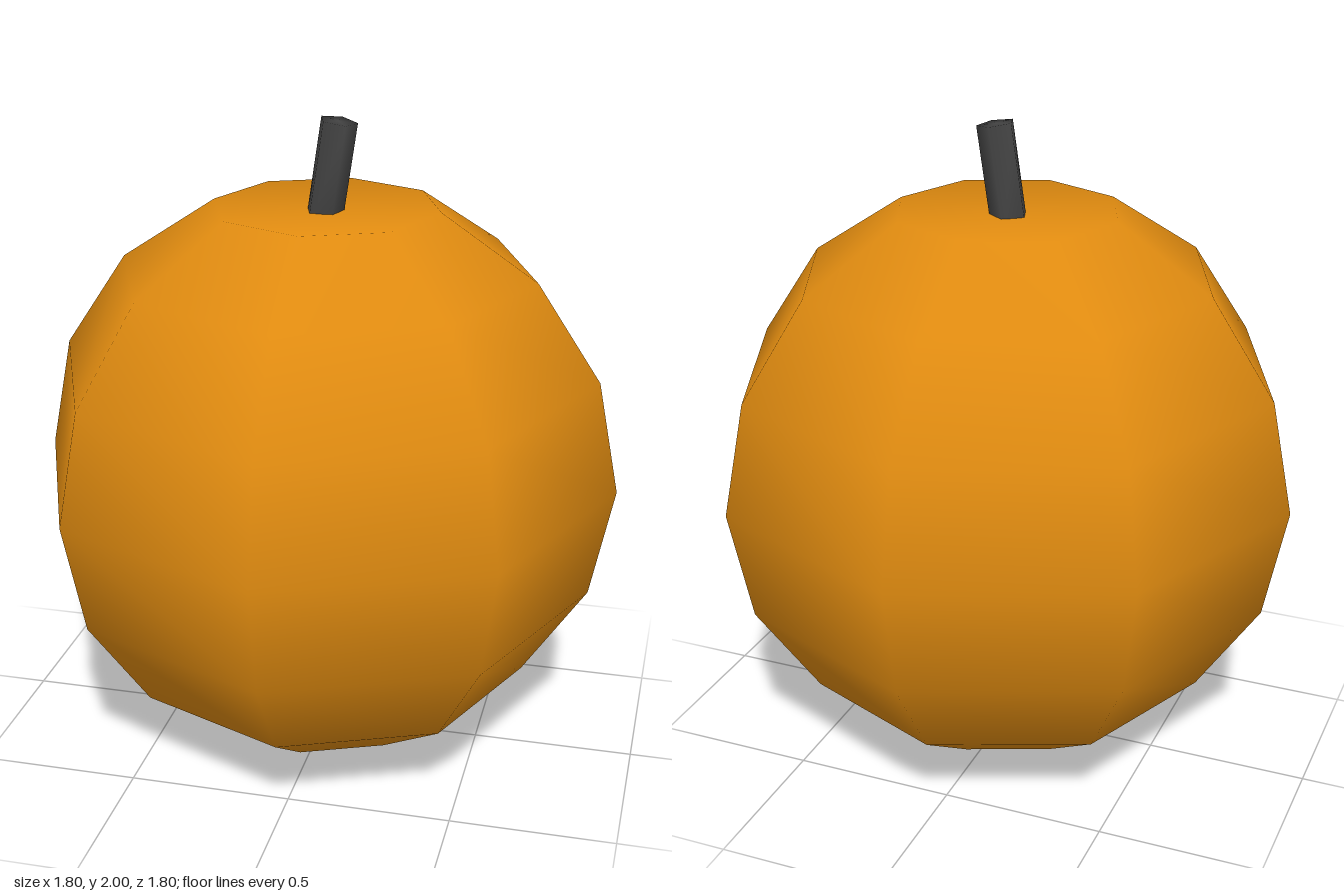
import * as THREE from 'three';
import { mergeVertices } from 'three/addons/utils/BufferGeometryUtils.js';

const RADIUS = 0.902;
const CENTRE_Y = 0.905;

export function createModel() {
  const orange = new THREE.MeshStandardMaterial({ color: 0xe08b10 });
  orange.name = 'orange skin';
  const charcoal = new THREE.MeshStandardMaterial({ color: 0x444444 });
  charcoal.name = 'charcoal stem';

  const group = new THREE.Group();
  group.name = 'fruit';

  // Round low-poly body: the top pole is pressed in, the bottom pole rests on the ground
  const bodyGeometry = new THREE.SphereGeometry(RADIUS, 8, 8);
  const position = bodyGeometry.attributes.position;
  for (let i = 0; i < position.count; i++) {
    const y = position.getY(i);
    if (y > RADIUS * 0.99) position.setY(i, RADIUS * 0.905);
    else if (y < -RADIUS * 0.99) position.setY(i, -CENTRE_Y);
  }
  const body = new THREE.Mesh(bodyGeometry, orange);
  body.name = 'body';
  body.position.y = CENTRE_Y;
  group.add(body);

  // Five-sided stem leaning towards +x, with shared normals so the rim shades softly
  const length = 0.34;
  let stemGeometry = new THREE.CylinderGeometry(0.058, 0.058, length, 5, 1);
  stemGeometry.deleteAttribute('uv');
  stemGeometry.deleteAttribute('normal');
  stemGeometry = mergeVertices(stemGeometry);
  stemGeometry.computeVertexNormals();
  stemGeometry.rotateY(Math.PI);
  stemGeometry.translate(0, -length / 2, 0);
  const stem = new THREE.Mesh(stemGeometry, charcoal);
  stem.name = 'stem';
  stem.position.set(0.036, 1.992, 0);
  stem.rotation.z = -0.15;
  group.add(stem);

  return group;
}
